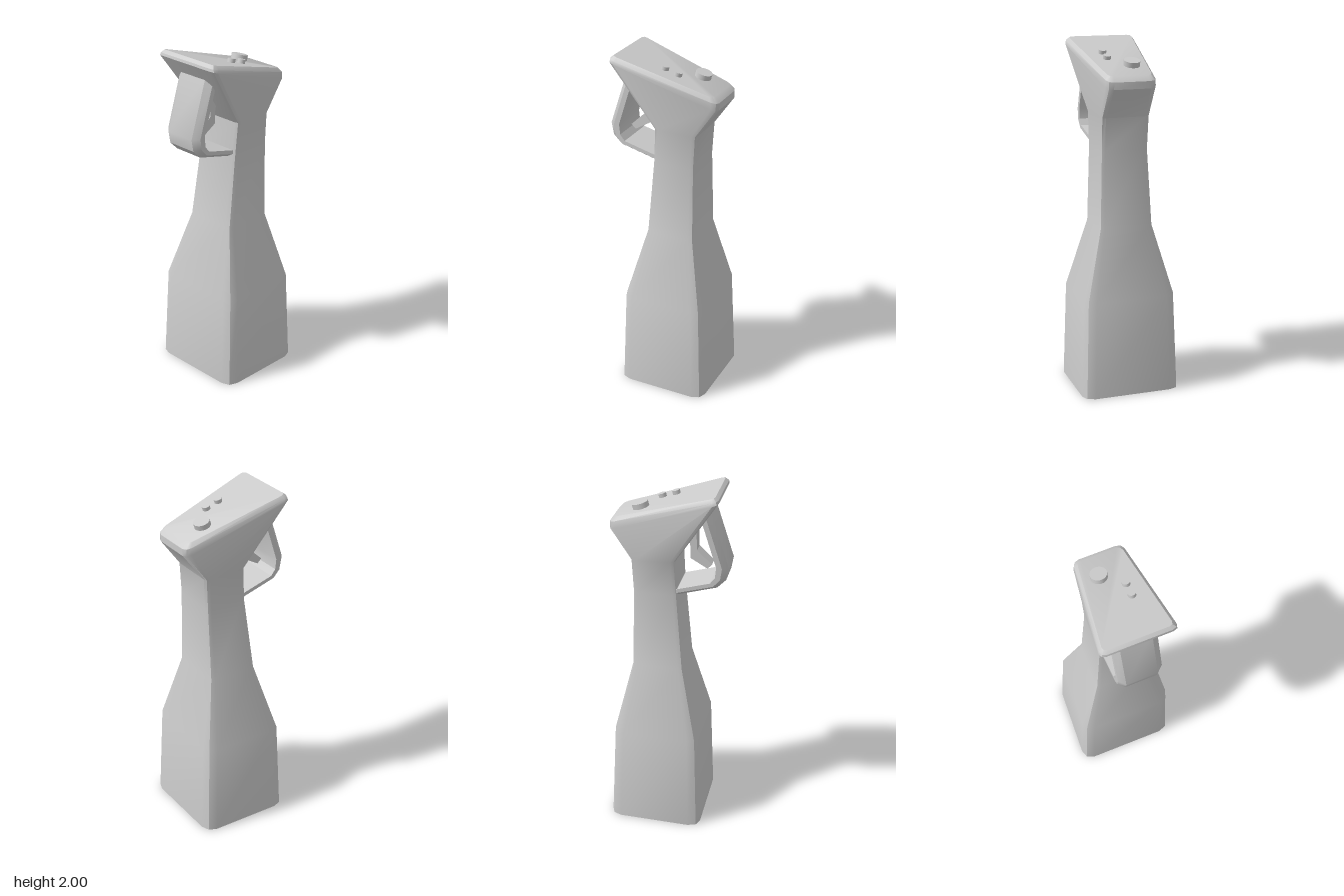
import * as THREE from 'three';
import { toCreasedNormals } from 'three/addons/utils/BufferGeometryUtils.js';

const material = new THREE.MeshStandardMaterial({ color: 0xcccccc });

// Skin a stack of equal-length closed rings and cap both ends.
function loft(rings, crease) {
  const n = rings[0].length;
  const points = rings.flat();
  const index = [];
  for (let r = 0; r < rings.length - 1; r++) {
    for (let i = 0; i < n; i++) {
      const a = r * n + i, b = r * n + (i + 1) % n;
      index.push(a, b, b + n, a, b + n, a + n);
    }
  }
  const last = (rings.length - 1) * n;
  for (let i = 1; i < n - 1; i++) {
    index.push(0, i + 1, i);
    index.push(last, last + i, last + i + 1);
  }
  const geometry = new THREE.BufferGeometry().setFromPoints(points);
  geometry.setIndex(index);
  return toCreasedNormals(geometry, crease);
}

// Four-sided section with softened corners; y may differ between its two x ends.
function section(x0, x1, y0, y1, backL, frontL, frontR, backR, c) {
  const corners = [
    new THREE.Vector3(x0, y0, backL), new THREE.Vector3(x0, y0, frontL),
    new THREE.Vector3(x1, y1, frontR), new THREE.Vector3(x1, y1, backR),
  ];
  return corners.flatMap((p, i) => {
    const toPrev = corners[(i + 3) % 4].clone().sub(p).normalize();
    const toNext = corners[(i + 1) % 4].clone().sub(p).normalize();
    return [
      p.clone().addScaledVector(toPrev, c),
      p.clone().addScaledVector(toPrev, c * 0.28).addScaledVector(toNext, c * 0.28),
      p.clone().addScaledVector(toNext, c),
    ];
  });
}

function add(group, name, geometry) {
  const mesh = new THREE.Mesh(geometry, material);
  mesh.name = name;
  group.add(mesh);
  return mesh;
}

export function createModel() {
  const group = new THREE.Group();
  group.name = 'handGrip';

  // Base, tapering shoulder, neck and slanted flared head
  add(group, 'body', loft([
    section(-0.22, 0.32, 0, 0, -0.31, 0.28, 0.30, -0.28, 0.065),
    section(-0.2, 0.297, 0.56, 0.56, -0.285, 0.265, 0.28, -0.26, 0.06),
    section(-0.095, 0.203, 0.96, 0.96, -0.165, 0.155, 0.17, -0.15, 0.03),
    section(-0.052, 0.2, 1.4, 1.4, -0.125, 0.155, 0.16, -0.12, 0.025),
    section(-0.04, 0.21, 1.6, 1.59, -0.135, 0.165, 0.16, -0.125, 0.025),
    section(-0.286, 0.332, 1.97, 1.76, -0.205, 0.224, 0.165, -0.118, 0.035),
    section(-0.283, 0.332, 1.985, 1.8, -0.2, 0.22, 0.163, -0.115, 0.035),
    section(-0.265, 0.305, 2.0, 1.83, -0.182, 0.2, 0.148, -0.1, 0.025),
  ], 0.6));

  // Guard strap with bevelled outer edges
  const outer = [[-0.03, 1.385], [-0.27, 1.45], [-0.32, 1.5], [-0.333, 1.57], [-0.225, 1.9]];
  const inner = [[-0.03, 1.43], [-0.235, 1.485], [-0.262, 1.52], [-0.268, 1.58], [-0.175, 1.87]];
  const profile = [[0, -0.09], [0, 0.09], [0.5, 0.125], [1, 0.125], [1, -0.125], [0.5, -0.125]];
  add(group, 'triggerGuard', loft(outer.map(([ox, oy], i) => profile.map(([t, z]) =>
    new THREE.Vector3(
      THREE.MathUtils.lerp(ox, inner[i][0], t),
      THREE.MathUtils.lerp(oy, inner[i][1], t),
      z + 0.01))), 0.5));

  // Hooked trigger
  const triggerShape = new THREE.Shape([
    [-0.23, 1.56], [-0.205, 1.535], [-0.11, 1.59], [-0.108, 1.66],
    [-0.09, 1.74], [-0.14, 1.78], [-0.145, 1.64],
  ].map(([x, y]) => new THREE.Vector2(x, y)));
  const trigger = new THREE.ExtrudeGeometry(triggerShape, { depth: 0.08, bevelEnabled: false });
  add(group, 'trigger', trigger.translate(0, 0, -0.025));

  // Thumb knob and two small buttons, square to the slanted top
  const slope = -0.17 / 0.57;
  const controls = [
    ['thumbKnob', 0.167, -0.03, 0.046, 0.03],
    ['button', -0.01, 0.08, 0.022, 0.022],
    ['button', 0.068, 0.08, 0.022, 0.022],
  ];
  for (const [name, x, z, radius, height] of controls) {
    const mesh = add(group, name, new THREE.CylinderGeometry(radius, radius, height * 2, 32));
    mesh.position.set(x, 2.0 + slope * (x + 0.265), z);
    mesh.rotation.z = Math.atan(slope);
  }
  return group;
}
